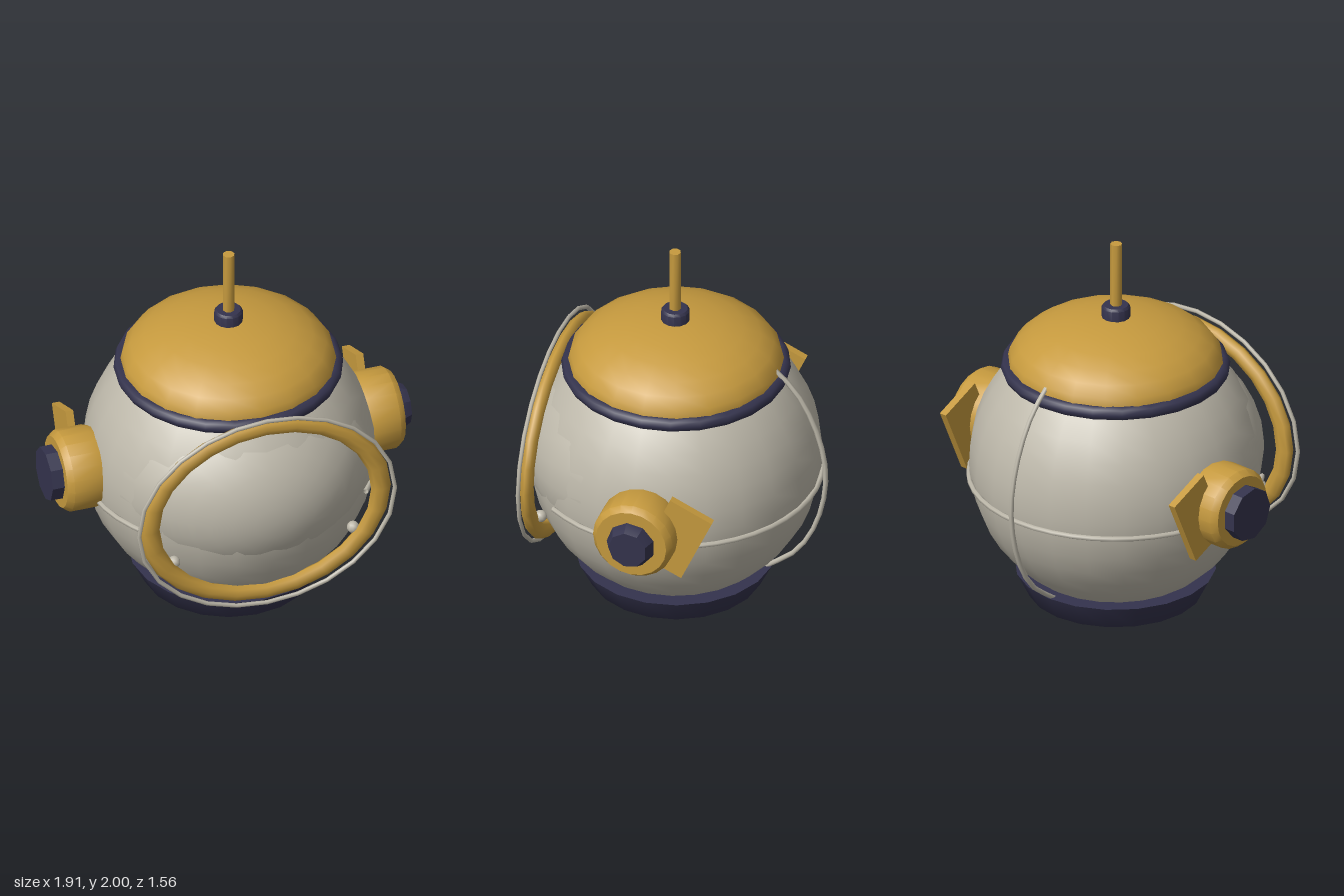
import * as THREE from 'three';
import { toCreasedNormals } from 'three/addons/utils/BufferGeometryUtils.js';

const grey = new THREE.MeshStandardMaterial({ color: 0xbdb8aa, side: THREE.DoubleSide });
grey.name = 'pale grey shell';
const gold = new THREE.MeshStandardMaterial({ color: 0xc69a3e });
gold.name = 'brass';
const navy = new THREE.MeshStandardMaterial({ color: 0x34334d, side: THREE.DoubleSide });
navy.name = 'dark navy';

const CZ = 0.02; // depth of the helmet axis
const CY = 0.8; // height of the shell centre
const R = 0.735; // shell radius

function add(parent, name, geometry, material, x = 0, y = 0, z = 0) {
  const mesh = new THREE.Mesh(geometry, material);
  mesh.name = name;
  mesh.position.set(x, y, z);
  parent.add(mesh);
  return mesh;
}

// Lathe from [radius, height] pairs, listed bottom to top
function lathe(points, segments, crease = 0.7) {
  const profile = points.map(([r, y]) => new THREE.Vector2(r, y));
  return toCreasedNormals(new THREE.LatheGeometry(profile, segments), crease);
}

function wire(points, radius, segments, closed = false) {
  const curve = new THREE.CatmullRomCurve3(points, closed);
  return new THREE.TubeGeometry(curve, segments, radius, 6, closed);
}

function createSideValve(side) {
  const valve = new THREE.Group();
  valve.name = side > 0 ? 'leftValve' : 'rightValve';
  valve.position.set(0, 0.82, -0.03);

  // Drum with bevelled rim, axis turned outward
  const drum = lathe([[0, 0.66], [0.19, 0.66], [0.21, 0.72], [0.21, 0.86], [0.185, 0.892], [0, 0.892]], 20);
  add(valve, 'valveDrum', drum, gold).rotation.z = -side * Math.PI / 2;

  // The two caps differ: tapered on the left, straight on the right
  const cap = side > 0
    ? lathe([[0.125, 0.88], [0.125, 0.9], [0.1, 0.953], [0, 0.953]], 9, 0.5)
    : lathe([[0.14, 0.88], [0.14, 0.955], [0, 0.955]], 9, 0.5);
  add(valve, 'valveCap', cap, navy).rotation.z = -side * Math.PI / 2;

  // Tilted plate behind the drum
  const plate = new THREE.BoxGeometry(0.04, 0.395, 0.24);
  add(valve, 'valvePlate', plate, gold, side * 0.765, 0, -0.2).rotation.x = -0.42;
  return valve;
}

export function createModel() {
  const model = new THREE.Group();
  model.name = 'divingHelmet';

  // Shell, open at the neck
  const neck = Math.acos((0.17 - CY) / R);
  add(model, 'shell', new THREE.SphereGeometry(R, 24, 18, 0, Math.PI * 2, 0, neck), grey, 0, CY, CZ);

  // Bulging face plate
  const bulge = new THREE.SphereGeometry(1, 24, 10, 0, Math.PI * 2, 0, Math.PI / 2);
  bulge.rotateX(Math.PI / 2).scale(0.7, 0.57, 0.68);
  add(model, 'facePlate', bulge, grey, 0, 0.85, 0.1);

  // Neck collar with a hole underneath
  const collar = lathe([[0.24, 0.02], [0.25, 0], [0.44, 0.07], [0.505, 0.2], [0.4, 0.2]], 20, 0.8);
  add(model, 'neckCollar', collar, navy, 0, 0, CZ);

  // Crown dome and its band
  const dome = new THREE.SphereGeometry(1, 20, 7, 0, Math.PI * 2, 0, Math.PI / 2).scale(0.545, 0.26, 0.545);
  add(model, 'crownDome', dome, gold, 0, 1.338, CZ);
  const band = new THREE.TorusGeometry(0.54, 0.036, 8, 24).rotateX(Math.PI / 2);
  add(model, 'crownBand', band, navy, 0, 1.322, CZ);

  // Top fitting and pipe
  const fitting = lathe([[0, 1.57], [0.072, 1.57], [0.072, 1.648], [0.062, 1.66], [0, 1.66]], 14);
  add(model, 'topFitting', fitting, navy, 0, 0, CZ + 0.003);
  const pipe = toCreasedNormals(new THREE.CylinderGeometry(0.03, 0.03, 0.36, 8), 0.9);
  add(model, 'topPipe', pipe, gold, 0, 1.82, CZ + 0.005);

  // Oval window frame and the thin wire in front of it
  const frame = new THREE.TorusGeometry(0.61, 0.052, 8, 24).scale(1, 0.825, 0.65);
  add(model, 'windowFrame', frame, gold, 0, 0.827, 0.608);
  const oval = [];
  for (let i = 0; i < 20; i++) {
    const a = (i / 20) * Math.PI * 2;
    oval.push(new THREE.Vector3(Math.cos(a) * 0.675, Math.sin(a) * 0.56, 0));
  }
  add(model, 'windowWire', wire(oval, 0.011, 24, true), grey, 0, 0.827, 0.635);

  // Wire round the back of the shell
  const girth = [];
  for (let i = 0; i <= 20; i++) {
    const a = -0.68 + (i / 20) * (Math.PI + 1.36);
    girth.push(new THREE.Vector3(Math.cos(a) * R, 0, -Math.sin(a) * R));
  }
  add(model, 'girthWire', wire(girth, 0.014, 32), grey, 0, 0.715, CZ);

  // Upright wire standing off the back
  const spine = [[1.4, -0.49], [1.28, -0.61], [1.06, -0.72], [0.8, -0.768], [0.52, -0.72], [0.32, -0.61], [0.18, -0.43]]
    .map(([y, z]) => new THREE.Vector3(0, y, z));
  add(model, 'backWire', wire(spine, 0.013, 14), grey);

  // Mirrored valves and frame studs
  for (const side of [1, -1]) {
    model.add(createSideValve(side));
    add(model, 'frameStud', new THREE.SphereGeometry(0.032, 10, 8), grey, side * 0.472, 0.587, 0.58);
  }
  return model;
}
